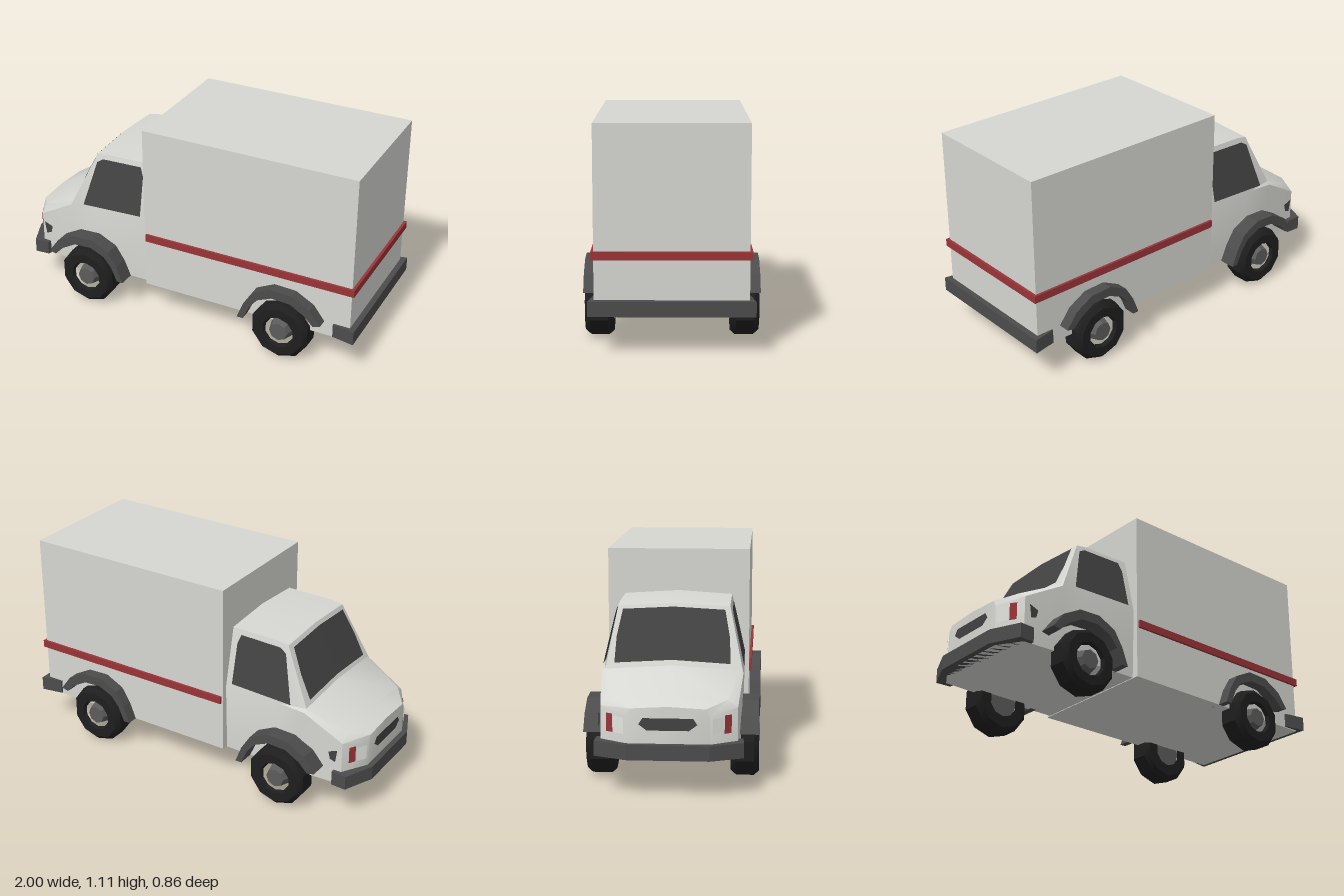
import * as THREE from 'three';
import { toCreasedNormals } from 'three/addons/utils/BufferGeometryUtils.js';

const paint = (name, color, side = THREE.FrontSide) => {
  const m = new THREE.MeshStandardMaterial({ color, side });
  m.name = name;
  return m;
};

export function createModel() {
  const truck = new THREE.Group();
  truck.name = 'boxTruck';
  const D = THREE.DoubleSide;
  const white = paint('bodyWhite', 0xd6d6d2);
  const red = paint('stripeRed', 0x9a3438, D);
  const trim = paint('trimGrey', 0x4c4c4c);
  const tyreMat = paint('tyreBlack', 0x1e1e1e);
  const hubMat = paint('hubGrey', 0x5c5c5c);
  const glass = paint('darkGlass', 0x424242, D);
  const lampMat = paint('lampWhite', 0xe4e4e0, D);

  const add = (name, geo, mat, parent = truck) => {
    const mesh = new THREE.Mesh(geo, mat);
    mesh.name = name;
    parent.add(mesh);
    return mesh;
  };
  // Box given by its min and max corners
  const block = (name, a, b, mat) => {
    const mesh = add(name, new THREE.BoxGeometry(b[0] - a[0], b[1] - a[1], b[2] - a[2]), mat);
    mesh.position.set((a[0] + b[0]) / 2, (a[1] + b[1]) / 2, (a[2] + b[2]) / 2);
  };
  // Thin polygon built as a fan
  const plate = (name, pts, mat) => {
    const v = [];
    for (let i = 1; i < pts.length - 1; i++) v.push(...pts[0], ...pts[i], ...pts[i + 1]);
    const g = new THREE.BufferGeometry();
    g.setAttribute('position', new THREE.Float32BufferAttribute(v, 3));
    g.computeVertexNormals();
    add(name, g, mat);
  };
  // Plan outline (x, z) extruded between two heights
  const slab = (name, plan, y0, y1, mat) => {
    const shape = new THREE.Shape(plan.map(p => new THREE.Vector2(...p)));
    const g = new THREE.ExtrudeGeometry(shape, { depth: y1 - y0, bevelEnabled: false });
    g.rotateX(Math.PI / 2).translate(0, y1, 0);
    add(name, g, mat);
  };
  const mirrorPlan = half => [...half, ...half.slice().reverse().map(([x, z]) => [x, -z])];

  // Cargo box and the stripe round its sides and rear
  block('cargoBox', [-0.21, 0.19, -0.37], [0.97, 1.11, 0.37], white);
  for (const s of [1, -1]) {
    block('sideStripe', [-0.2, 0.465, s > 0 ? 0.365 : -0.383], [0.97, 0.505, s > 0 ? 0.383 : -0.365], red);
  }
  block('rearStripe', [0.965, 0.465, -0.383], [0.985, 0.505, 0.383], red);

  // Cab lofted along x: x, bottom half-width, belt y, belt half-width, top y, top half-width, crown
  const stations = [
    [-0.97, 0.2, 0.4, 0.2, 0.435, 0.18, 0.01],
    [-0.89, 0.33, 0.43, 0.33, 0.465, 0.28, 0.025],
    [-0.68, 0.34, 0.55, 0.35, 0.565, 0.33, 0.02],
    [-0.54, 0.34, 0.56, 0.35, 0.86, 0.28, 0.015],
    [-0.48, 0.34, 0.56, 0.35, 0.87, 0.28, 0.015],
    [-0.215, 0.34, 0.56, 0.35, 0.875, 0.28, 0.018],
  ];
  const pos = [], idx = [], n = 7;
  for (const [x, wb, yb, wm, yt, wt, crown] of stations) {
    pos.push(x, 0.19, -wb, x, yb, -wm, x, yt, -wt, x, yt + crown, 0, x, yt, wt, x, yb, wm, x, 0.19, wb);
  }
  for (let i = 0; i < stations.length - 1; i++) {
    for (let j = 0; j < n; j++) {
      const k = (j + 1) % n;
      const a = i * n + j, d = i * n + k, b = a + n, c = d + n;
      idx.push(a, d, b, b, d, c);
    }
  }
  const last = (stations.length - 1) * n;
  for (let j = 1; j < n - 1; j++) idx.push(0, j + 1, j, last, last + j, last + j + 1);
  const cab = new THREE.BufferGeometry();
  cab.setAttribute('position', new THREE.Float32BufferAttribute(pos, 3));
  cab.setIndex(idx);
  add('cab', toCreasedNormals(cab, 0.6), white);

  // Windscreen, following the slope between hood and roof
  const screenPoint = (t, s) => {
    const A = stations[2], B = stations[3], mix = k => A[k] + (B[k] - A[k]) * t;
    return [mix(0) - 0.007, mix(4) + mix(6) * (1 - Math.abs(s)) + 0.004, s * mix(5)];
  };
  plate('windscreen', [[0.08, 0], [0.08, 0.88], [0.5, 0.92], [0.93, 0.9], [0.93, 0],
    [0.93, -0.9], [0.5, -0.92], [0.08, -0.88]].map(p => screenPoint(...p)), glass);

  // Side windows, lamps and markers, mirrored
  const windowOutline = [[-0.6, 0.572], [-0.535, 0.82], [-0.5, 0.842], [-0.27, 0.848], [-0.252, 0.8], [-0.25, 0.585]];
  for (const s of [1, -1]) {
    plate('sideWindow', windowOutline.map(([x, y]) => [x, y, s * (0.357 - (y - 0.55) * 0.226)]), glass);
    const corner = (u, y) => [-0.975 + 0.08 * u, y, s * (0.203 + 0.13 * u)];
    const lamp = (name, u0, u1, y0, y1, mat) =>
      plate(name, [corner(u0, y0), corner(u1, y0), corner(u1, y1), corner(u0, y1)], mat);
    lamp('headlamp', 0.08, 0.46, 0.31, 0.39, lampMat);
    lamp('indicator', 0.5, 0.75, 0.31, 0.4, red);
    plate('sideMarker', [[-0.87, 0.39], [-0.82, 0.37], [-0.83, 0.33], [-0.86, 0.32]]
      .map(([x, y]) => [x, y, s * 0.343]), glass);
  }

  // Grille
  plate('grille', [[0.33, -0.1], [0.33, 0.1], [0.36, 0.14], [0.39, 0.12], [0.39, -0.12], [0.36, -0.14]]
    .map(([y, z]) => [-0.975, y, z]), glass);

  // Bumpers, wrapping round the corners
  slab('frontBumper', mirrorPlan([[-0.84, 0.31], [-0.85, 0.355], [-0.93, 0.36], [-1, 0.2]]), 0.19, 0.265, trim);
  slab('rearBumper', mirrorPlan([[0.88, 0.36], [0.88, 0.378], [1, 0.4], [1, 0.2]]), 0.195, 0.27, trim);

  // Wheel: low-sided tyre with bevelled shoulders, and hub
  const tyreProfile = [[0.08, -0.07], [0.14, -0.07], [0.163, -0.045], [0.163, 0.045], [0.14, 0.07], [0.09, 0.07], [0.08, 0.05]]
    .map(p => new THREE.Vector2(...p));
  const tyreGeo = toCreasedNormals(new THREE.LatheGeometry(tyreProfile, 10).rotateX(Math.PI / 2), 0.5);
  const hubGeo = toCreasedNormals(new THREE.CylinderGeometry(0.05, 0.085, 0.13, 8).rotateX(Math.PI / 2), 0.5);

  // Arch flare: angular band, with the tail reaching to the sill on one side
  const outer = [[-0.23, 0.27], [-0.17, 0.35], [-0.07, 0.405], [0.05, 0.41], [0.15, 0.36], [0.2, 0.28], [0.235, 0.19]];
  const inner = [[0.2, 0.19], [0.165, 0.27], [0.12, 0.325], [0.04, 0.36], [-0.06, 0.355], [-0.14, 0.31], [-0.19, 0.26]];
  const archGeo = dir => {
    const shape = new THREE.Shape([...outer, ...inner].map(([x, y]) => new THREE.Vector2(x * dir, y)));
    return new THREE.ExtrudeGeometry(shape, { depth: 0.11, bevelEnabled: false });
  };
  for (const [end, x, dir] of [['front', -0.56, 1], ['rear', 0.6, -1]]) {
    for (const s of [1, -1]) {
      const wheel = new THREE.Group();
      wheel.name = end + 'Wheel';
      wheel.position.set(x, 0.163, s * 0.36);
      if (s < 0) wheel.rotation.y = Math.PI;
      truck.add(wheel);
      add('tyre', tyreGeo, tyreMat, wheel);
      add('hub', hubGeo, hubMat, wheel);
      add(end + 'Arch', archGeo(dir), trim).position.set(x, 0, s > 0 ? 0.32 : -0.43);
    }
  }
  return truck;
}
